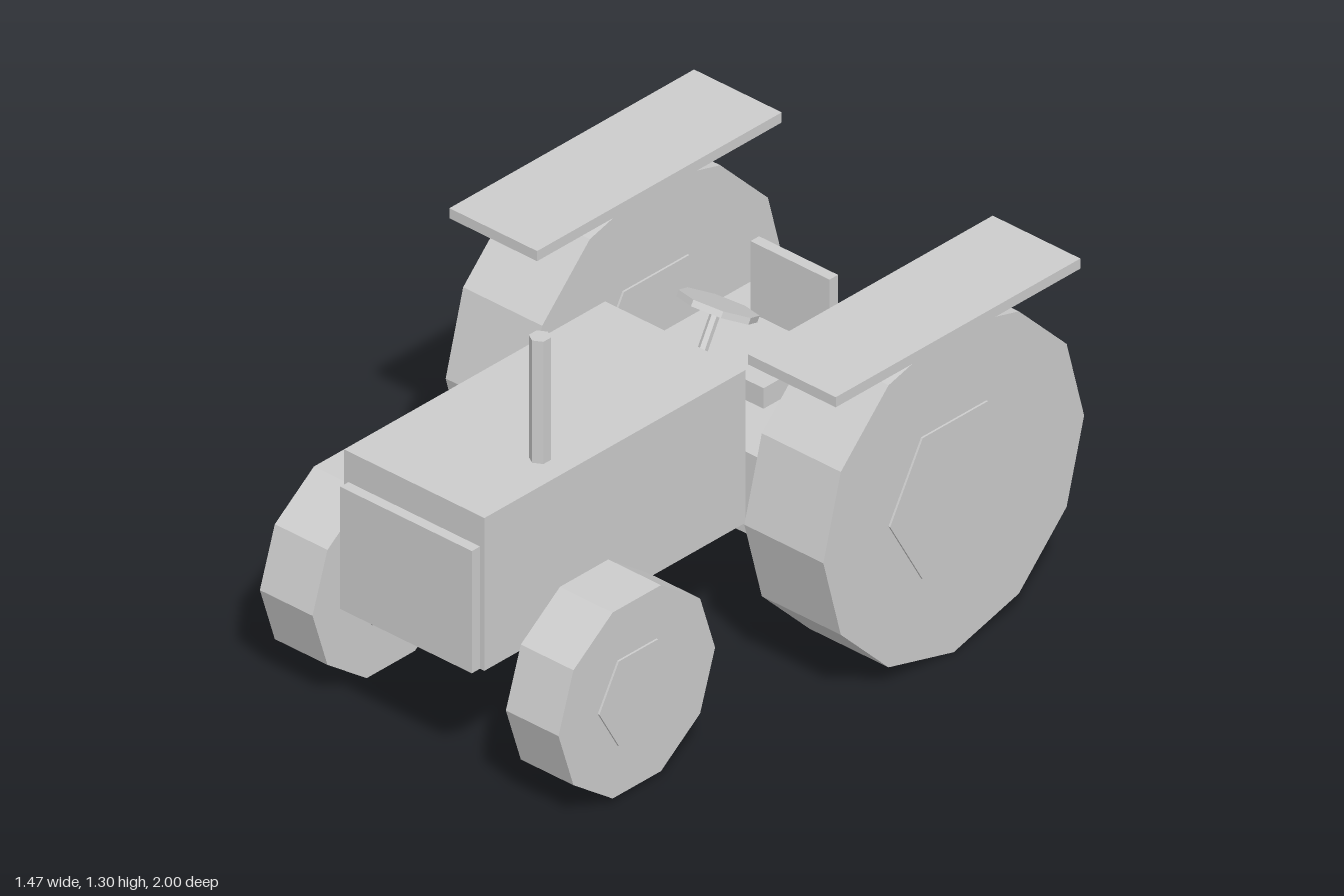
import * as THREE from 'three';

export function createModel() {
  const model = new THREE.Group();
  const grey = new THREE.MeshStandardMaterial({ color: 0xcccccc });
  grey.name = 'plainGrey';
  grey.flatShading = true;

  const add = (name, geometry, x, y, z, parent = model) => {
    const mesh = new THREE.Mesh(geometry, grey);
    mesh.name = name;
    mesh.position.set(x, y, z);
    parent.add(mesh);
    return mesh;
  };
  const box = (name, w, h, d, x, y, z) => add(name, new THREE.BoxGeometry(w, h, d), x, y, z);

  // Wheel lying on the x axis, with a hexagonal hub standing slightly proud
  const wheel = (name, r, width, sides, hubR, x, y, z) => {
    const group = new THREE.Group();
    group.name = name;
    group.position.set(x, y, z);
    const disc = (part, radius, w, n) => add(part,
      new THREE.CylinderGeometry(radius, radius, w, n).rotateZ(Math.PI / 2), 0, 0, 0, group);
    disc('tyre', r, width, sides);
    disc('hub', hubR, width + 0.0133, 6);
    model.add(group);
  };

  // Body
  box('hood', 0.533, 0.5, 1.067, 0, 0.65, 0.433);
  box('grille', 0.5, 0.4, 0.04, 0, 0.6, 0.98);
  box('rearBody', 0.667, 0.267, 0.733, 0, 0.5, -0.467);
  add('exhaustPipe', new THREE.CylinderGeometry(0.032, 0.032, 0.4, 6), 0.165, 1.1, 0.63);

  // Seat
  box('seat', 0.3, 0.067, 0.3, 0, 0.667, -0.45);
  box('seatBack', 0.3, 0.267, 0.035, 0, 0.8, -0.587);

  // Steering wheel, tilted towards the seat, with its column along the same axis
  const steering = new THREE.Group();
  steering.name = 'steering';
  steering.position.set(0, 0.918, -0.275);
  steering.rotation.x = -0.5;
  add('steeringWheel', new THREE.CylinderGeometry(0.12, 0.12, 0.02, 8), 0, 0, 0, steering);
  add('steeringColumn', new THREE.CylinderGeometry(0.015, 0.015, 0.25, 6), 0, -0.125, 0, steering);
  model.add(steering);

  // Wheels and fenders on both sides
  for (const [side, s] of [['left', 1], ['right', -1]]) {
    wheel(side + 'RearWheel', 0.533, 0.3, 12, 0.267, s * 0.567, 0.533, -0.467);
    wheel(side + 'FrontWheel', 0.32, 0.2, 10, 0.16, s * 0.467, 0.322, 0.667);
    box(side + 'Fender', 0.333, 0.033, 1, s * 0.567, 1.052, -0.467);
  }
  return model;
}
